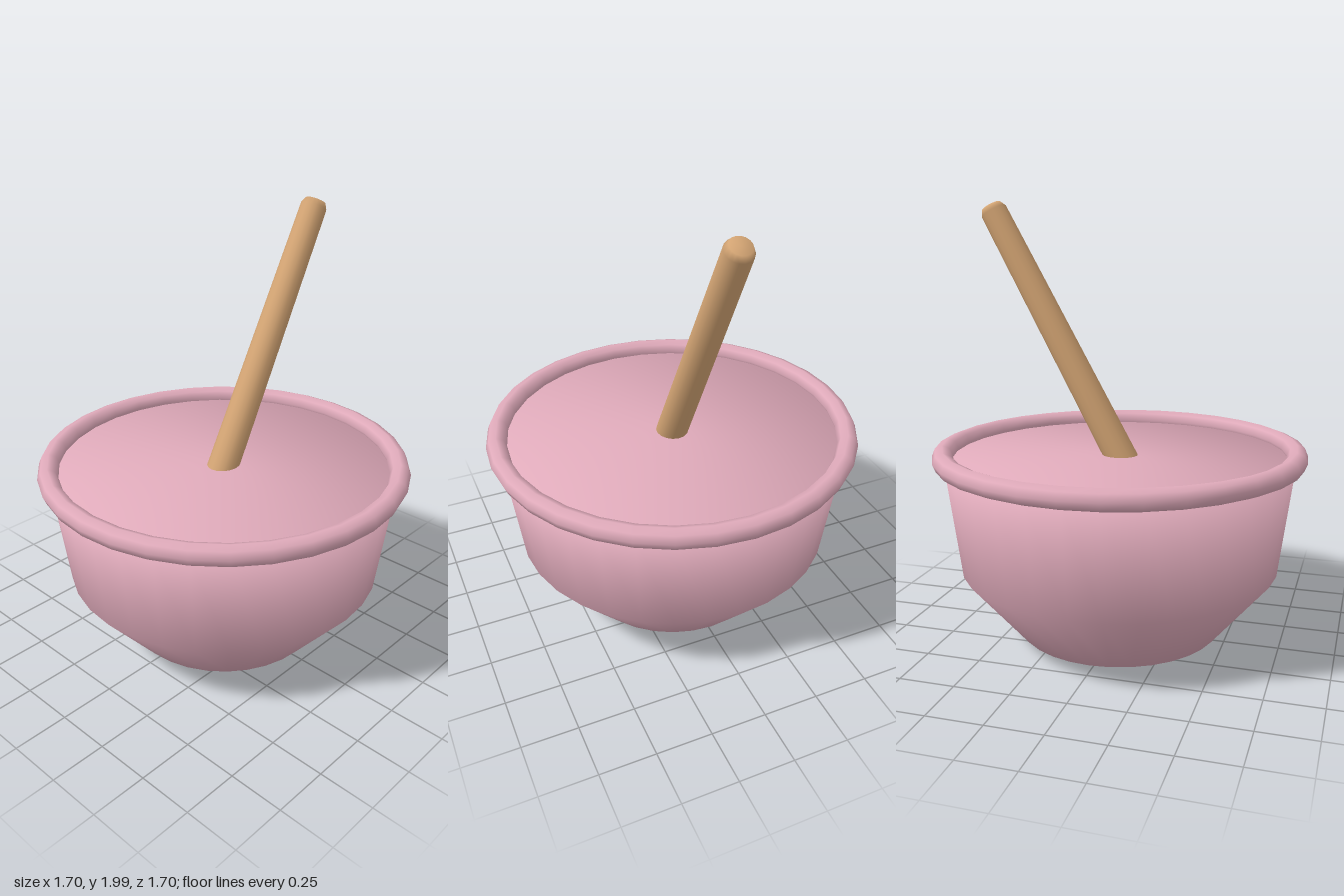
import * as THREE from 'three';

const pink = new THREE.MeshStandardMaterial({ color: 0xdfaaba });
pink.name = 'pinkCeramic';
const wood = new THREE.MeshStandardMaterial({ color: 0xd4a574 });
wood.name = 'paleWood';

// Surface of revolution from [radius, height] pairs, smooth across its edges
function turned(name, profile, segments, material) {
  const points = profile.map(([r, y]) => new THREE.Vector2(r, y));
  const mesh = new THREE.Mesh(new THREE.LatheGeometry(points, segments), material);
  mesh.name = name;
  return mesh;
}

export function createModel() {
  const model = new THREE.Group();
  model.name = 'mixingBowl';

  // Bowl, closed just below the rim by its filled top
  model.add(turned('bowl', [
    [0, 0.005], [0.465, 0.035], [0.73, 0.345], [0.8, 0.86], [0, 0.86],
  ], 32, pink));

  // Rolled rim
  const rim = new THREE.Mesh(new THREE.TorusGeometry(0.803, 0.047, 8, 32), pink);
  rim.name = 'rim';
  rim.rotation.x = Math.PI / 2;
  rim.position.y = 0.873;
  model.add(rim);

  // Tapered stick with a chamfered tip, leaning to the model's left
  const stick = turned('stick', [
    [0, -0.1], [0.073, -0.1], [0.061, 1.245], [0.047, 1.272], [0, 1.272],
  ], 16, wood);
  stick.position.y = 0.86;
  stick.rotation.z = -0.5;
  model.add(stick);

  return model;
}
